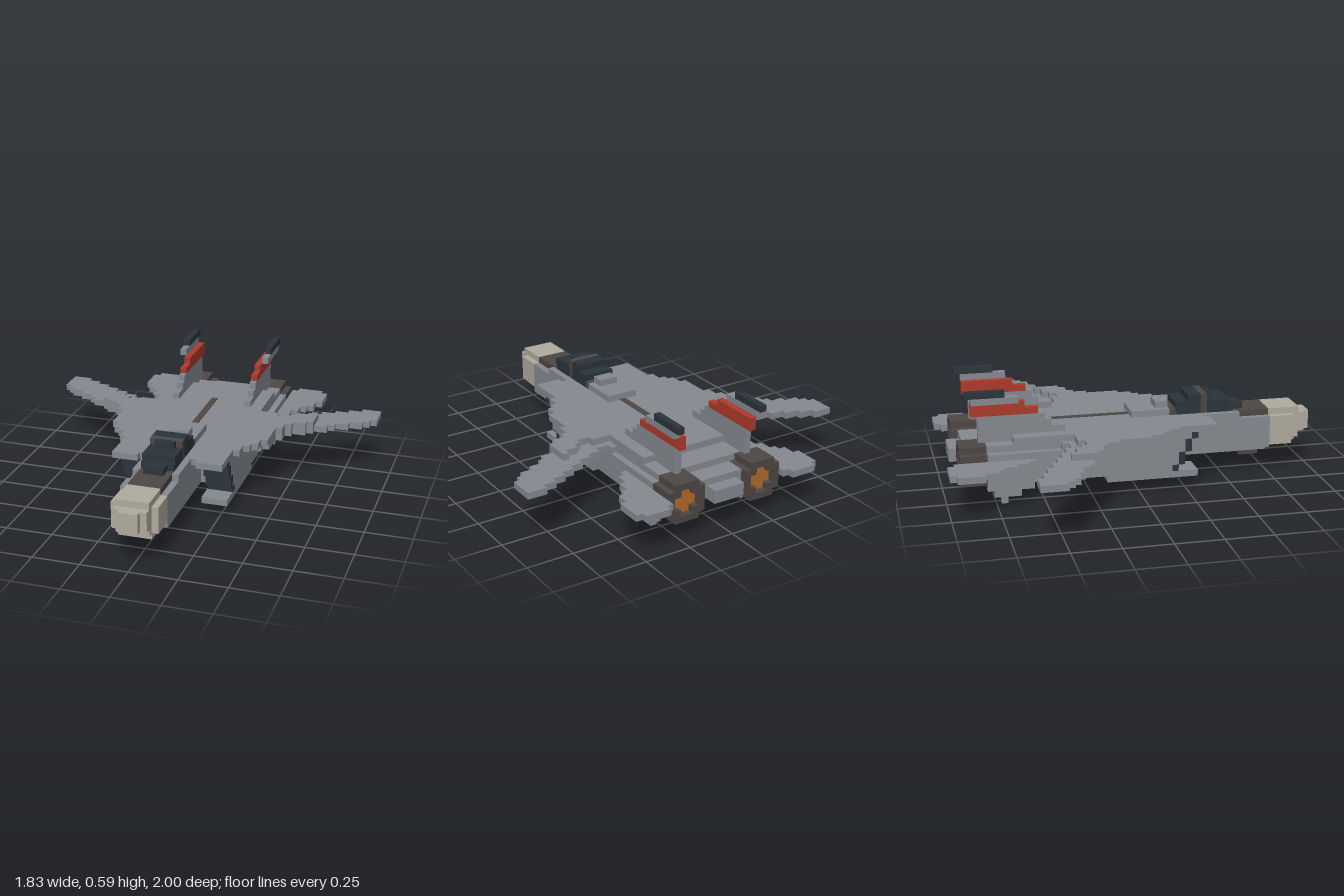
import * as THREE from 'three';

const V = 1 / 29; // one block

const mat = (name, color) => Object.assign(new THREE.MeshStandardMaterial({ color }), { name });

export function createModel() {
  const grey = mat('hull grey', 0x868b91);
  const beige = mat('nose beige', 0xb0ab9d);
  const brown = mat('dark brown', 0x4e4745);
  const dark = mat('canopy navy', 0x2b343b);
  const red = mat('fin red', 0xae3a2c);
  const orange = mat('exhaust orange', 0xb56c2b);

  const model = new THREE.Group();
  model.name = 'jet';

  const add = (name, geo, material) => {
    const mesh = new THREE.Mesh(geo, material);
    mesh.name = name;
    model.add(mesh);
  };
  // Box between block coordinates
  const box = (name, m, x0, x1, y0, y1, z0, z1) => {
    const g = new THREE.BoxGeometry((x1 - x0) * V, (y1 - y0) * V, (z1 - z0) * V);
    g.translate((x0 + x1) / 2 * V, (y0 + y1) / 2 * V, (z0 + z1) / 2 * V);
    add(name, g, m);
  };
  const mid = (name, m, w, ...yz) => box(name, m, -w, w, ...yz);
  const pair = (name, m, x0, x1, ...yz) => {
    box(name + 'Left', m, x0, x1, ...yz);
    box(name + 'Right', m, -x1, -x0, ...yz);
  };
  // Stair-stepped plate on both sides: one front and back z for each column of blocks
  const steppedPlate = (name, x0, y0, y1, front, back) => {
    for (const s of [1, -1]) {
      const pts = [];
      front.forEach((z, i) => pts.push([x0 + i, z], [x0 + i + 1, z]));
      for (let i = back.length - 1; i >= 0; i--) pts.push([x0 + i + 1, back[i]], [x0 + i, back[i]]);
      const shape = new THREE.Shape(pts.map(([x, z]) => new THREE.Vector2(s * x * V, z * V)));
      const g = new THREE.ExtrudeGeometry(shape, { depth: (y1 - y0) * V, bevelEnabled: false });
      g.rotateX(Math.PI / 2).translate(0, y1 * V, 0);
      add(name + (s > 0 ? 'Left' : 'Right'), g, grey);
    }
  };

  // Nose cone
  mid('noseTip', beige, 1.5, 6, 9, 28, 29);
  mid('noseFront', beige, 2.5, 6, 9, 27, 28);
  mid('noseMiddle', beige, 2.5, 5, 10, 26, 27);
  mid('noseBase', beige, 3.5, 5, 9, 22, 26);
  mid('noseTop', beige, 2.5, 9, 10, 22, 26);
  mid('noseChin', beige, 2.5, 4, 5, 22, 26);

  // Fuselage
  mid('forwardFuselage', grey, 3.5, 4, 9, -5, 22);
  mid('keel', grey, 1.5, 3, 4, 0, 22);
  mid('antiGlarePanel', brown, 2.5, 9, 10, 16, 22);
  pair('cockpitSill', grey, 2.5, 3.5, 9, 10, 11, 17);
  mid('cockpitFloor', grey, 2.5, 9, 10, 11, 16);
  mid('gunPod', brown, 0.5, 2, 3, 18, 21);
  mid('centreBody', grey, 4.5, 5, 9, -23, 6);

  // Canopy
  mid('windscreen', dark, 1.5, 10, 11, 16, 18);
  mid('canopyLower', dark, 2.53, 9, 11, 13, 16);
  mid('canopyFront', dark, 2.5, 11, 12, 13, 15.5);
  mid('canopyMiddle', dark, 2.5, 10, 12, 12, 13);
  mid('canopyTopFront', dark, 1.5, 12, 13, 12, 13);
  mid('canopyFrame', brown, 2.5, 10, 13, 11, 12);
  mid('canopyTop', dark, 2.5, 12, 13, 9, 11);
  mid('canopyRear', dark, 2.5, 10, 12, 7, 11);
  mid('canopyRearFrame', brown, 2.5, 10, 11, 6, 7);
  mid('dorsalStep', grey, 1.5, 11, 12, 4, 6);
  mid('dorsalFairing', grey, 2.5, 10, 11, 0, 6);
  mid('spineStripe', brown, 0.5, 10, 10.1, -13, 0);

  // Upper deck and wings
  mid('deck', grey, 8.5, 9, 10, -19, 11);
  mid('deckLipCentre', grey, 3.5, 9, 10, 11, 12);
  pair('deckLip', grey, 4.5, 8.5, 9, 10, 11, 12);
  steppedPlate('wingRoot', 8.5, 9, 10,
    [6, 4, 3, 1, -4, -6, -7, -7, -8],
    [-10, -10, -10, -9, -9, -10, -11, -11, -12]);
  steppedPlate('wing', 8.5, 8, 9,
    [1, 1, 1, 0, -4, -6, -7, -7, -8, -9, -9, -10, -11, -11, -12, -12, -13, -14],
    [-12, -11, -11, -12, -12, -13, -13, -14, -14, -15, -15, -16, -16, -17, -17, -18, -18, -18]);

  // Engine nacelles with slanted intakes
  [6, 7, 7, 8, 8, 9].forEach((front, i) => {
    pair('nacelle', grey, 4.5, 8.5, 3 + i, 4 + i, -23, front - 1);
    pair('intake', dark, 4.5, 8.5, 3 + i, 4 + i, front - 1, front);
  });
  pair('nacelleInnerWall', grey, 3.5, 4.5, 4, 9, -23, 6);
  pair('nacelleSlab', grey, 4.5, 8.5, 2, 3, -5, 9);
  pair('nacelleFairing', grey, 8.5, 9.5, 5, 8, -23, -8);

  // Exhaust nozzles, hollow with a glowing core
  for (const [name, a, b] of [['Left', 6, 1], ['Right', -6, -1]]) {
    const c = a + b * 0.5;
    const outline = (Type, w, h, n) => new Type([
      [w, h - n], [w - n, h - n], [w - n, h], [n - w, h], [n - w, h - n], [-w, h - n],
      [-w, n - h], [n - w, n - h], [n - w, -h], [w - n, -h], [w - n, n - h], [w, n - h],
    ].map(([x, y]) => new THREE.Vector2((c + x) * V, (6 + y) * V)));
    const ring = outline(THREE.Shape, 3, 3, 1);
    ring.holes.push(outline(THREE.Path, 2, 2, 1));
    const g = new THREE.ExtrudeGeometry(ring, { depth: 4 * V, bevelEnabled: false });
    add('nozzle' + name, g.translate(0, 0, -27 * V), brown);
    box('exhaustCore' + name, orange, c - 2, c + 2, 4, 8, -26, -23);
  }

  // Tail deck between the engines
  mid('tailDeck', grey, 3.5, 5, 8, -26, -23);
  mid('tailTip', grey, 2.5, 5, 7, -28, -26);

  // Horizontal stabilisers
  steppedPlate('stabiliser', 9.5, 6, 7,
    [-16, -17, -19, -21, -22, -24],
    [-28, -29, -29, -29, -29, -28]);

  // Twin fins, leaning outward at the top
  [[9, -11], [10, -11], [11, -13], [12, -14]].forEach(([y, z]) =>
    pair('finBase', grey, 5.5, 6.5, y, y + 1, -24, z));
  pair('finBandLower', red, 5.5, 6.5, 13, 14, -25, -15);
  pair('finBandUpper', red, 5.5, 6.5, 14, 15, -25, -17);
  pair('finUpper', grey, 6.5, 7.5, 15, 16, -25, -18);
  pair('finCap', dark, 6.5, 7.5, 16, 17, -26, -20);

  // Ventral fins
  [[2, -23, -16], [1, -22, -18], [0, -21, -20]].forEach(([y, z0, z1]) =>
    pair('ventralFin', grey, 7.5, 8.5, y, y + 1, z0, z1));

  return model;
}
